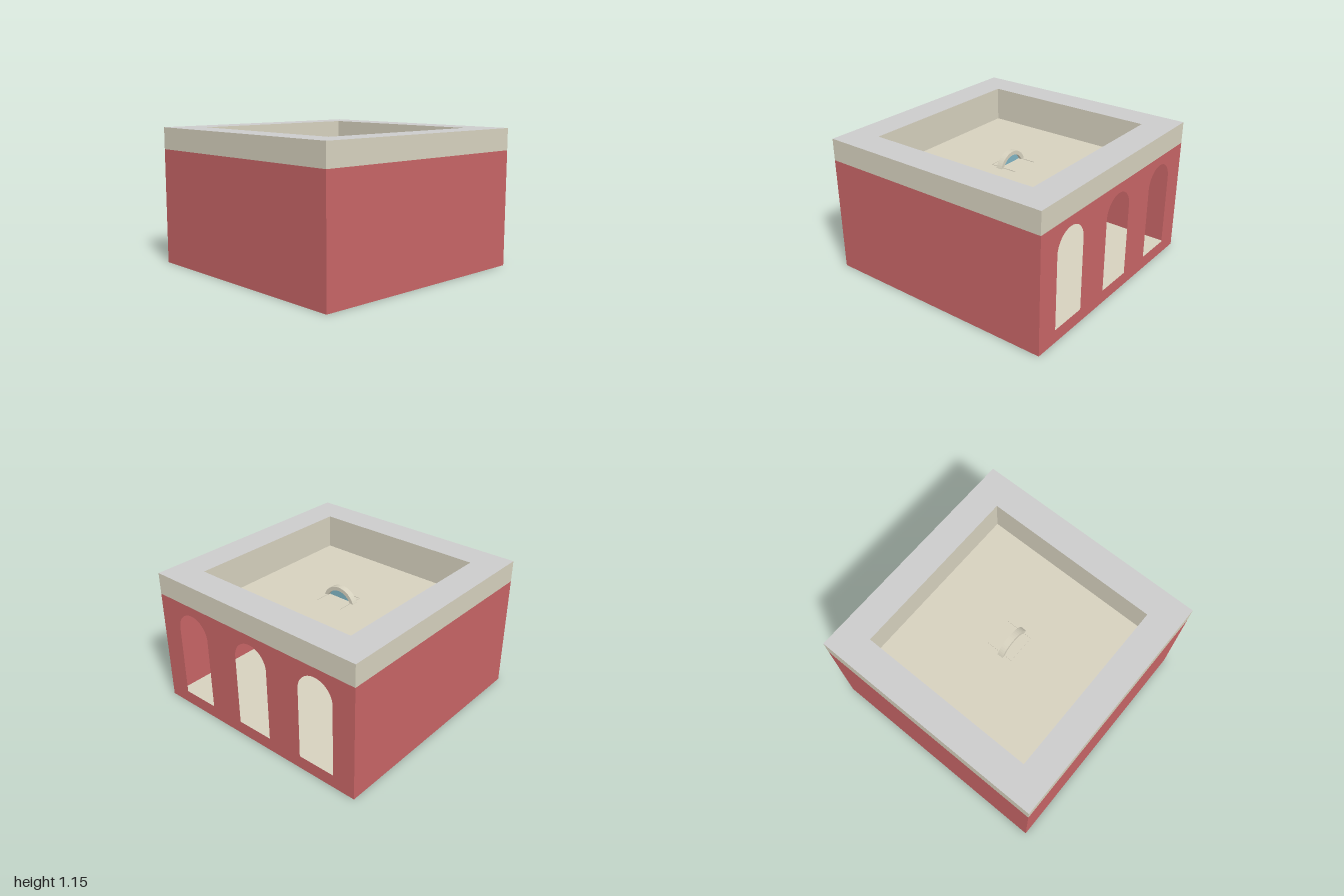
import * as THREE from 'three';

const RED = 0xc76566, BEIGE = 0xd6d1be, GREY = 0xcccccc, GLASS = 0x7fb4c4;
const WALL_TOP = 0.965, TOP = 1.147, PIT = 0.75, PIT_FLOOR = 0.858;

const mat = (color) => new THREE.MeshStandardMaterial({ color, side: THREE.DoubleSide });

// Round-headed outline: half width r, from bottom up to apex
function archOutline(Type, cx, r, bottom, apex) {
  const p = new Type();
  p.moveTo(cx - r, bottom);
  p.lineTo(cx + r, bottom);
  p.lineTo(cx + r, apex - r);
  p.absarc(cx, apex - r, r, 0, Math.PI, false);
  p.lineTo(cx - r, bottom);
  return p;
}

function square(Type, h) {
  return new Type([[-h, -h], [h, -h], [h, h], [-h, h]].map(([x, y]) => new THREE.Vector2(x, y)));
}

export function createModel() {
  const model = new THREE.Group();
  const red = mat(RED), beige = mat(BEIGE), grey = mat(GREY), glass = mat(GLASS);

  const add = (name, geometry, material, x = 0, y = 0, z = 0, parent = model) => {
    const mesh = new THREE.Mesh(geometry, material);
    mesh.name = name;
    mesh.position.set(x, y, z);
    parent.add(mesh);
    return mesh;
  };

  // Thin plain walls: front and both sides
  const wall = new THREE.PlaneGeometry(2, WALL_TOP);
  add('frontWall', wall, red, 0, WALL_TOP / 2, 1);
  add('leftWall', wall, red, 1, WALL_TOP / 2, 0).rotation.y = Math.PI / 2;
  add('rightWall', wall, red, -1, WALL_TOP / 2, 0).rotation.y = -Math.PI / 2;

  // Back wall with three arched openings
  const back = new THREE.Shape([[-1, 0], [1, 0], [1, WALL_TOP], [-1, WALL_TOP]]
    .map(([x, y]) => new THREE.Vector2(x, y)));
  for (const x of [-0.64, 0, 0.64]) back.holes.push(archOutline(THREE.Path, x, 0.163, 0.11, 0.887));
  add('backWall', new THREE.ShapeGeometry(back, 16), red, 0, 0, -1);

  // Room floor
  add('floor', new THREE.PlaneGeometry(2, 2), beige).rotation.x = -Math.PI / 2;

  // Parapet ring: grey top and underside, beige sides
  const ring = square(THREE.Shape, 1);
  ring.holes.push(square(THREE.Path, PIT));
  const ringGeo = new THREE.ExtrudeGeometry(ring, { depth: TOP - WALL_TOP, bevelEnabled: false });
  add('parapet', ringGeo, [grey, beige], 0, WALL_TOP, 0).rotation.x = -Math.PI / 2;

  // Sunken roof deck with its short side walls
  add('roofDeck', new THREE.PlaneGeometry(2 * PIT, 2 * PIT), beige, 0, PIT_FLOOR, 0).rotation.x = -Math.PI / 2;
  const skirtHeight = WALL_TOP - PIT_FLOOR;
  const skirt = new THREE.PlaneGeometry(2 * PIT, skirtHeight);
  for (let i = 0; i < 4; i++) {
    const a = i * Math.PI / 2;
    add('roofDeckSide', skirt, beige, PIT * Math.sin(a), PIT_FLOOR + skirtHeight / 2, PIT * Math.cos(a)).rotation.y = a;
  }

  // Arched window in the middle, its head rising through the deck
  const win = new THREE.Group();
  win.name = 'archedWindow';
  model.add(win);
  const frame = archOutline(THREE.Shape, 0, 0.16, 0.2, 0.962);
  frame.holes.push(archOutline(THREE.Path, 0, 0.128, 0.26, 0.93));
  add('windowFrame', new THREE.ExtrudeGeometry(frame, { depth: 0.05, bevelEnabled: false, curveSegments: 12 }),
    beige, 0, 0, 0, win);
  add('windowGlass', new THREE.ShapeGeometry(archOutline(THREE.Shape, 0, 0.128, 0.26, 0.93), 12),
    glass, 0, 0, 0.025, win);
  add('windowSill', new THREE.BoxGeometry(0.37, 0.1, 0.11), beige, 0, 0.22, 0.025, win);

  // Thin rails around the window at deck level
  for (const s of [-1, 1]) {
    add('sideRail', new THREE.BoxGeometry(0.004, 0.02, 0.24), beige, s * 0.122, PIT_FLOOR - 0.005, 0, win);
  }
  add('frontRail', new THREE.BoxGeometry(0.244, 0.02, 0.004), beige, 0, PIT_FLOOR - 0.005, 0.118, win);

  return model;
}
